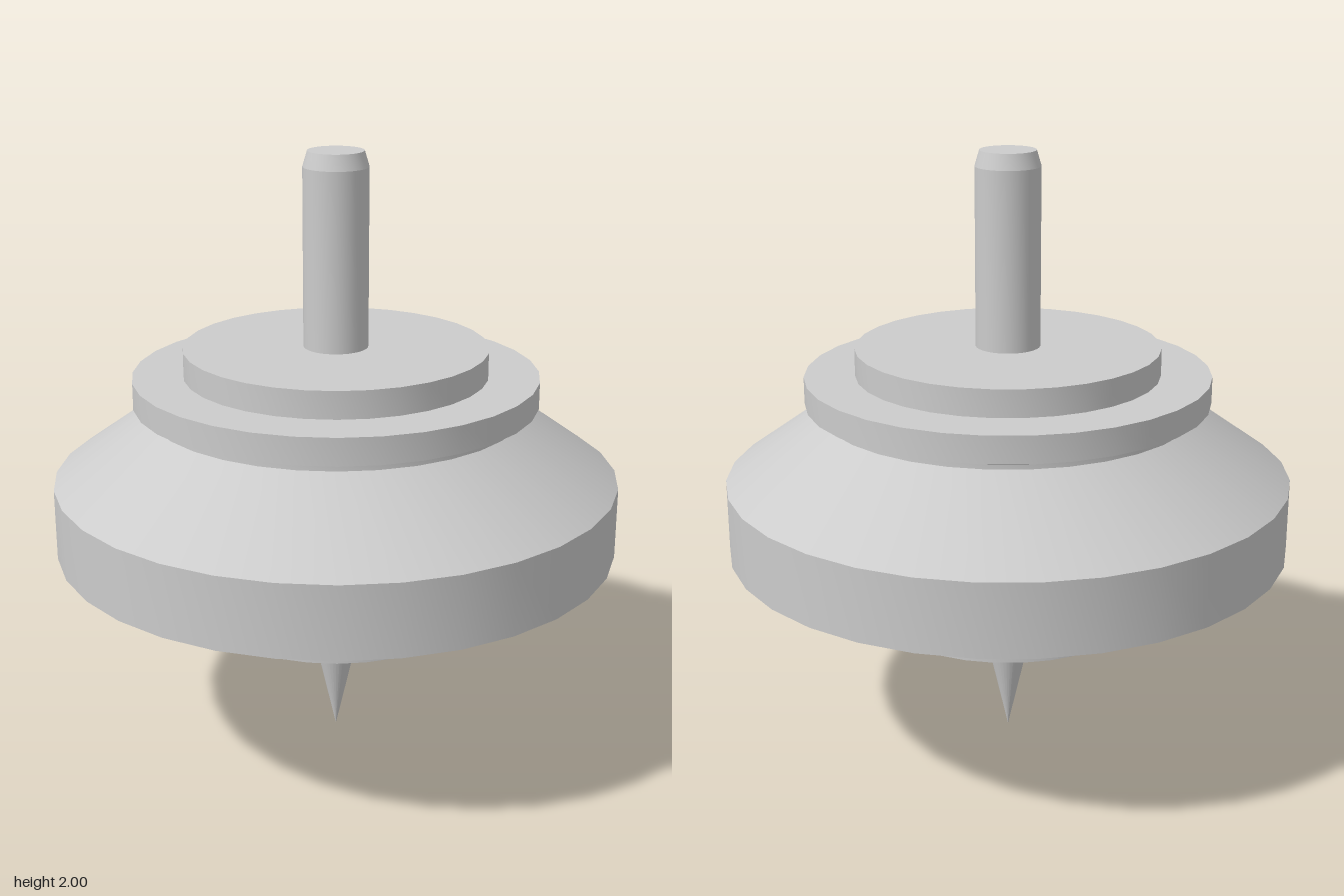
import * as THREE from 'three';
import { toCreasedNormals } from 'three/addons/utils/BufferGeometryUtils.js';

const SIDES = 32;

export function createModel() {
  const group = new THREE.Group();
  const material = new THREE.MeshStandardMaterial({ color: 0xcccccc });

  // Turned part from a [radius, height] profile, bottom to top
  function turned(name, profile) {
    const points = profile.map(([r, y]) => new THREE.Vector2(r, y));
    const geometry = toCreasedNormals(new THREE.LatheGeometry(points, SIDES), 0.24);
    const mesh = new THREE.Mesh(geometry, material);
    mesh.name = name;
    group.add(mesh);
  }

  // Pointed spinning tip
  turned('tip', [[0, 0], [0.105, 0.467]]);

  // Bottom disc, wide flywheel, groove, collar and top disc
  turned('body', [
    [0, 0.467], [0.47, 0.467], [0.47, 0.535],
    [0.925, 0.705], [0.925, 0.94],
    [0.613, 1.163], [0.613, 1.178],
    [0.66, 1.195], [0.66, 1.283],
    [0.495, 1.283], [0.495, 1.372], [0, 1.372],
  ]);

  // Handle with a small chamfer at the top
  turned('handle', [[0.105, 1.372], [0.105, 1.95], [0.09, 2], [0, 2]]);

  return group;
}
